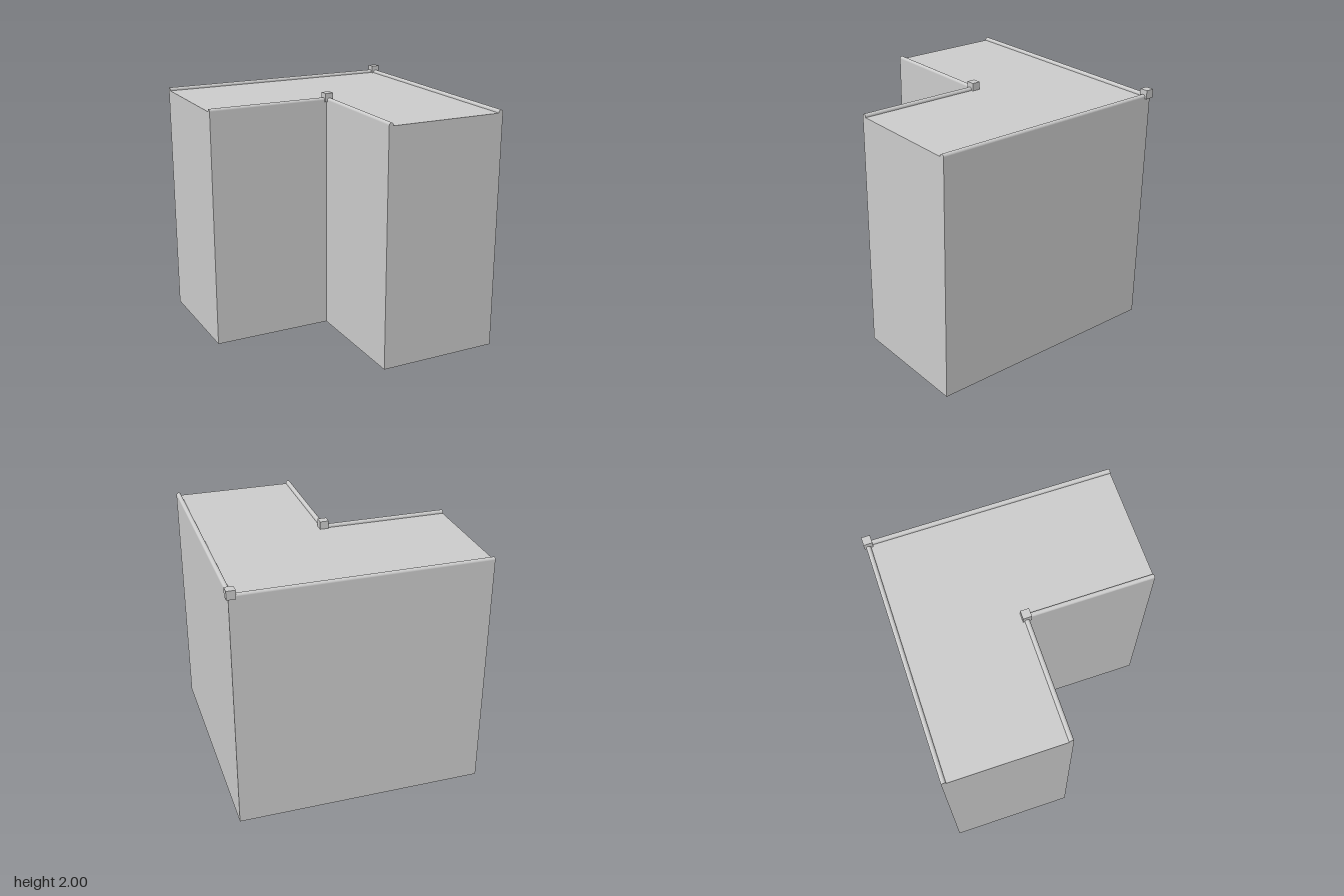
import * as THREE from 'three';

const TOP = 1.933;   // height of the block
const R = 0.0185;    // half width of the rails

export function createModel() {
  const group = new THREE.Group();
  const mat = new THREE.MeshStandardMaterial({ color: 0xcccccc });

  const add = (name, geometry, x, y, z) => {
    const mesh = new THREE.Mesh(geometry, mat);
    mesh.name = name;
    mesh.position.set(x, y, z);
    group.add(mesh);
    return mesh;
  };

  // L-shaped block, drawn in plan and extruded upwards
  const plan = new THREE.Shape(
    [[-1, 0], [-0.01, 0], [-0.01, -1], [0.985, -1], [0.985, 0.985], [-1, 0.985]]
      .map(([x, y]) => new THREE.Vector2(x, y)));
  const block = new THREE.ExtrudeGeometry(plan, { depth: TOP, bevelEnabled: false });
  block.rotateX(-Math.PI / 2);
  add('cornerBlock', block, 0, 0, 0);

  // Round-topped edge rails, running from a corner post to an open end
  const arch = new THREE.Shape();
  arch.moveTo(-R, 0);
  arch.lineTo(R, 0);
  arch.lineTo(R, 0.006);
  arch.absarc(0, 0.006, R, 0, Math.PI, false);
  arch.closePath();
  const rail = (name, x, z, length, turn) => {
    const geometry = new THREE.ExtrudeGeometry(arch, { depth: length, bevelEnabled: false, curveSegments: 12 });
    add(name, geometry, x, TOP, z).rotation.y = turn;
  };

  // Each corner: a small square post with one rail to the front and one to the side
  const corners = [['inner', 0.0085, -0.0185], ['outer', 0.9665, -0.9665]];
  for (const [name, x, z] of corners) {
    add(name + 'Post', new THREE.BoxGeometry(0.069, 0.069, 0.069), x, 1.9605, z + 0.002);
    rail(name + 'FrontRail', x, z, 1 - z, 0);
    rail(name + 'SideRail', x, z, x + 1, -Math.PI / 2);
  }
  return group;
}
